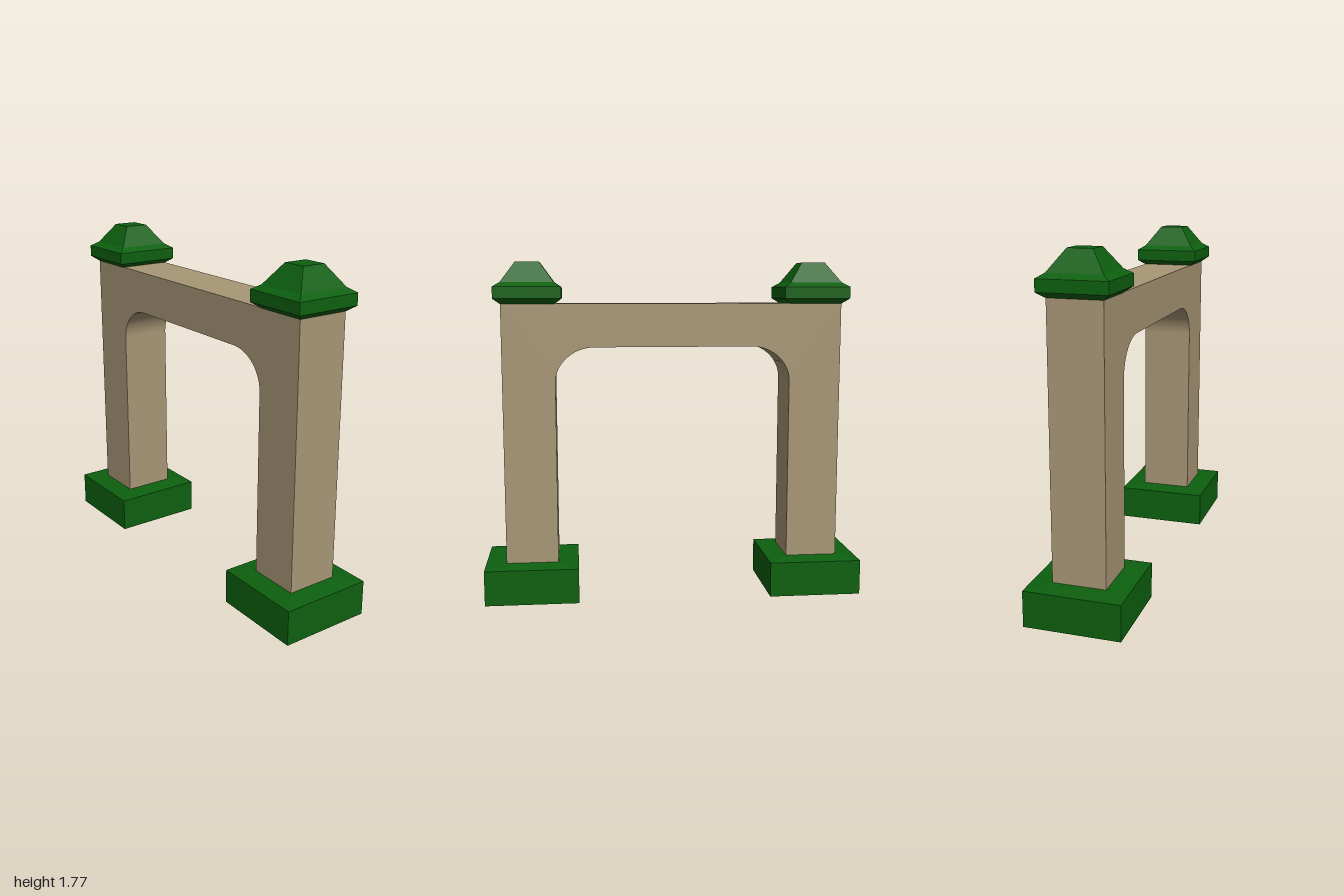
import * as THREE from 'three';
import { toCreasedNormals } from 'three/addons/utils/BufferGeometryUtils.js';

const stone = new THREE.MeshStandardMaterial({ color: 0xa89776 });
stone.name = 'sandstone';
const green = new THREE.MeshStandardMaterial({ color: 0x0d600f });
green.name = 'dark green';

// Square block from a profile of [half width, height], bottom to top
function squareTurned(profile) {
  const points = profile.map(([half, y]) => new THREE.Vector2(half * Math.SQRT2, y));
  const geometry = new THREE.LatheGeometry(points, 4, Math.PI / 4).toNonIndexed();
  geometry.computeVertexNormals();
  return geometry;
}

// Posts and lintel as one extruded outline with rounded inner corners
function archGeometry() {
  const outer = 0.89, inner = 0.617, foot = 0.18, top = 1.56;
  const soffit = 1.335, rx = 0.207, ry = 0.185, depth = 0.272;
  const shape = new THREE.Shape();
  shape.moveTo(-outer, foot);
  shape.lineTo(-inner, foot);
  shape.lineTo(-inner, soffit - ry);
  shape.absellipse(-inner + rx, soffit - ry, rx, ry, Math.PI, Math.PI / 2, true);
  shape.lineTo(inner - rx, soffit);
  shape.absellipse(inner - rx, soffit - ry, rx, ry, Math.PI / 2, 0, true);
  shape.lineTo(inner, foot);
  shape.lineTo(outer, foot);
  shape.lineTo(outer, top);
  shape.lineTo(-outer, top);
  shape.closePath();
  const geometry = new THREE.ExtrudeGeometry(shape, { depth, bevelEnabled: false, curveSegments: 16 });
  geometry.translate(0, 0, -depth / 2);
  return toCreasedNormals(geometry, Math.PI / 6);
}

export function createModel() {
  const model = new THREE.Group();
  model.name = 'archway';

  const add = (name, geometry, material, x = 0) => {
    const mesh = new THREE.Mesh(geometry, material);
    mesh.name = name;
    mesh.position.x = x;
    model.add(mesh);
  };

  add('arch', archGeometry(), stone);

  // Plinths with a slightly sloped top, and stepped pyramid caps
  const plinth = squareTurned([[0, 0], [0.245, 0], [0.245, 0.185], [0.145, 0.195], [0, 0.195]]);
  const cap = squareTurned([
    [0, 1.558], [0.137, 1.558], [0.173, 1.585], [0.173, 1.645],
    [0.136, 1.669], [0.0625, 1.773], [0, 1.773],
  ]);
  for (const [side, sign] of [['left', 1], ['right', -1]]) {
    add(side + 'Plinth', plinth, green, sign * 0.755);
    add(side + 'Cap', cap, green, sign * 0.753);
  }
  return model;
}
